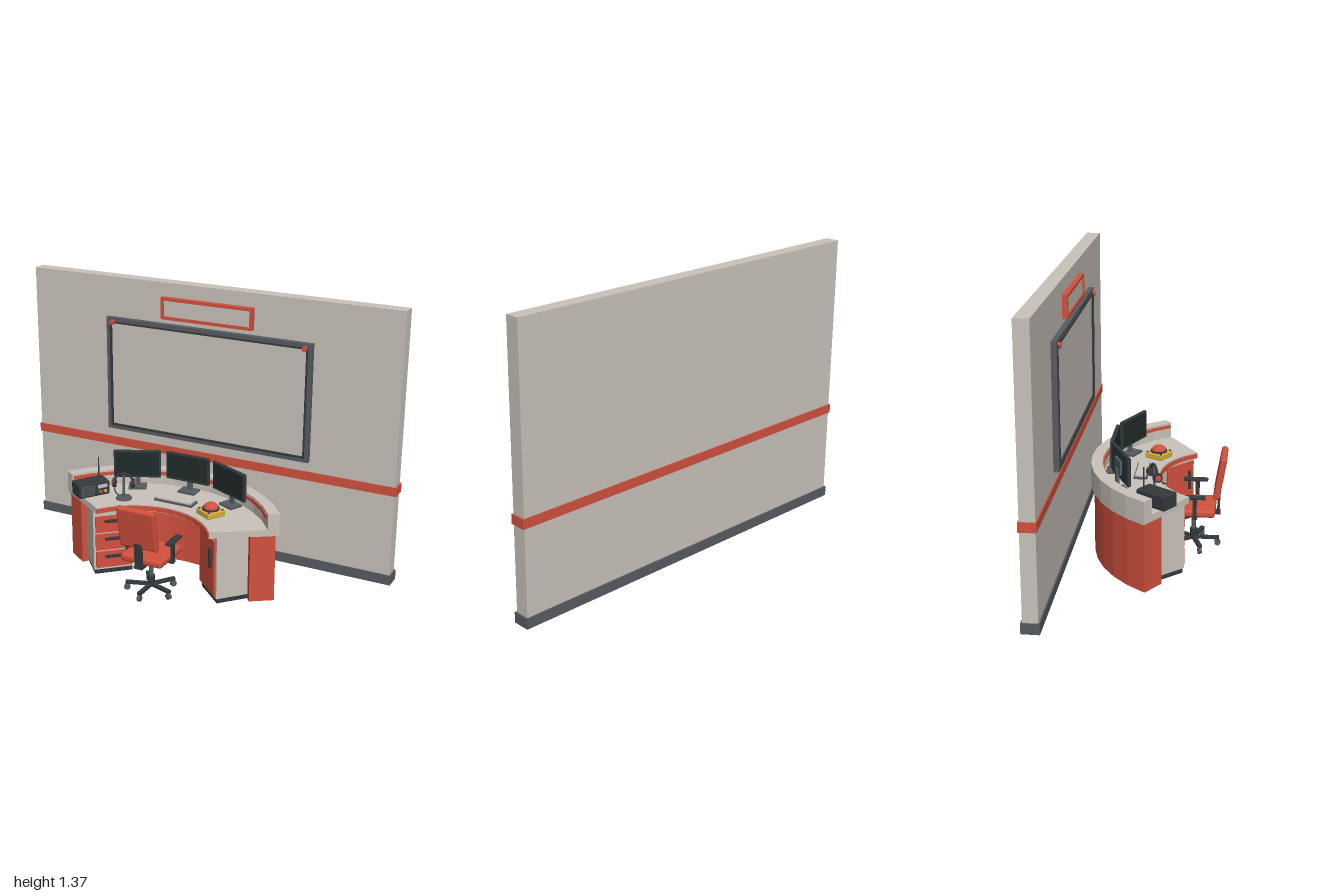
import * as THREE from 'three';
import { RoundedBoxGeometry } from 'three/addons/geometries/RoundedBoxGeometry.js';

const mat = (name, color) => {
  const m = new THREE.MeshStandardMaterial({ color });
  m.name = name;
  return m;
};
const M = {
  light: mat('warm light grey', 0xc9c3ba),
  red: mat('red', 0xd2513e),
  grey: mat('slate grey', 0x575c61),
  dark: mat('charcoal', 0x34393c),
  screen: mat('screen', 0x212b2b),
  yellow: mat('yellow', 0xd9ae3a),
};
const rad = THREE.MathUtils.degToRad;

function add(parent, name, geometry, material, x = 0, y = 0, z = 0) {
  const m = new THREE.Mesh(geometry, material);
  m.name = name;
  m.position.set(x, y, z);
  parent.add(m);
  return m;
}
const box = (p, n, m, w, h, d, x, y, z) => add(p, n, new THREE.BoxGeometry(w, h, d), m, x, y, z);
const soft = (p, n, m, w, h, d, x, y, z, r = 0.006) =>
  add(p, n, new RoundedBoxGeometry(w, h, d, 2, r), m, x, y, z);
const cyl = (p, n, m, r, h, x, y, z, r2 = r, seg = 16) =>
  add(p, n, new THREE.CylinderGeometry(r2, r, h, seg), m, x, y, z);
function group(parent, name, x = 0, y = 0, z = 0, ry = 0) {
  const g = new THREE.Group();
  g.name = name;
  g.position.set(x, y, z);
  g.rotation.y = rad(ry);
  parent.add(g);
  return g;
}

// Faceted ring sector around the desk centre (0, 0.45)
function sector(parent, name, material, r0, r1, y0, y1, deg, seg = 12) {
  const pts = [];
  const put = (r, i) => {
    const t = rad(deg) * (2 * i / seg - 1);
    pts.push(new THREE.Vector2(r * Math.sin(t), r * Math.cos(t)));
  };
  for (let i = 0; i <= seg; i++) put(r1, i);
  for (let i = seg; i >= 0; i--) put(r0, i);
  const geo = new THREE.ExtrudeGeometry(new THREE.Shape(pts), { depth: y1 - y0, bevelEnabled: false });
  geo.rotateX(-Math.PI / 2);
  return add(parent, name, geo, material, 0, y0, 0.45);
}

// Rectangular frame with an open middle, back face at z
function frame(parent, name, material, w, h, t, depth, x, y, z) {
  const rect = (C, a, b) => new C([[-a, -b], [a, -b], [a, b], [-a, b]].map(p => new THREE.Vector2(...p)));
  const s = rect(THREE.Shape, w / 2, h / 2);
  s.holes.push(rect(THREE.Path, w / 2 - t, h / 2 - t));
  return add(parent, name, new THREE.ExtrudeGeometry(s, { depth, bevelEnabled: false }), material, x, y, z);
}

function buildWall(root) {
  const g = group(root, 'wall');
  box(g, 'wallPanel', M.light, 1.985, 1.362, 0.07, 0, 0.684, -0.367);
  box(g, 'baseboard', M.grey, 2, 0.05, 0.084, 0, 0.025, -0.367);
  box(g, 'wallStripe', M.red, 2, 0.045, 0.08, 0, 0.488, -0.367);
  // Large display board
  box(g, 'boardPanel', M.light, 1.07, 0.555, 0.016, 0, 0.862, -0.322);
  frame(g, 'boardFrame', M.grey, 1.115, 0.595, 0.024, 0.026, 0, 0.862, -0.332);
  frame(g, 'boardInnerFrame', M.dark, 1.075, 0.555, 0.008, 0.03, 0, 0.862, -0.332);
  for (const s of [-1, 1]) {
    cyl(g, 'boardLamp', M.red, 0.013, 0.014, s * 0.522, 1.136, -0.299).rotation.x = Math.PI / 2;
  }
  // Sign above the board
  frame(g, 'signFrame', M.red, 0.495, 0.11, 0.015, 0.026, 0, 1.24, -0.332);
  box(g, 'signPanel', M.light, 0.475, 0.09, 0.018, 0, 1.24, -0.323);
}

function buildDesk(root) {
  const g = group(root, 'desk');
  sector(g, 'deskBody', M.red, 0.555, 0.675, 0, 0.34, 56);
  sector(g, 'deskTop', M.light, 0.36, 0.69, 0.338, 0.37, 56.7);
  sector(g, 'deskTopTrim', M.red, 0.354, 0.36, 0.343, 0.365, 56.7);
  sector(g, 'counter', M.light, 0.635, 0.69, 0.37, 0.448, 56.7);
  sector(g, 'counterTrim', M.red, 0.628, 0.635, 0.422, 0.438, 56);

  for (const s of [-1, 1]) {
    const p = group(g, s < 0 ? 'drawerPedestal' : 'doorPedestal', s * 0.26, 0, 0.167, -s * 42.5);
    box(p, 'pedestalBody', M.light, 0.2, 0.315, 0.165, 0, 0.182, -0.083);
    box(p, 'plinth', M.dark, 0.19, 0.025, 0.165, 0, 0.0125, -0.088);
    if (s < 0) {
      for (let i = 0; i < 3; i++) {
        const y = 0.08 + i * 0.094;
        box(p, 'drawerFront', M.red, 0.18, 0.084, 0.01, 0, y, 0.005);
        soft(p, 'drawerHandle', M.dark, 0.09, 0.014, 0.014, 0, y + 0.018, 0.016, 0.004);
      }
    } else {
      box(p, 'door', M.red, 0.18, 0.28, 0.01, 0, 0.178, 0.005);
      soft(p, 'doorHandle', M.dark, 0.013, 0.1, 0.014, 0.055, 0.225, 0.016, 0.004);
    }
  }
}

function buildMonitor(root, x, z, ry) {
  const g = group(root, 'monitor', x, 0.37, z, ry);
  soft(g, 'monitorCase', M.dark, 0.235, 0.142, 0.018, 0, 0.129, 0, 0.005);
  box(g, 'monitorScreen', M.screen, 0.218, 0.122, 0.003, 0, 0.131, 0.0095);
  box(g, 'monitorBack', M.grey, 0.08, 0.07, 0.014, 0, 0.125, -0.013);
  box(g, 'monitorNeck', M.grey, 0.025, 0.11, 0.014, 0, 0.06, -0.02);
  box(g, 'monitorFoot', M.grey, 0.09, 0.01, 0.07, 0, 0.005, -0.008);
}

function buildDeskItems(root) {
  buildMonitor(root, 0, -0.128, 0);
  buildMonitor(root, -0.253, -0.068, 25);
  buildMonitor(root, 0.253, -0.068, -25);

  // Keyboard
  const k = group(root, 'keyboard', 0, 0.37, 0.005);
  box(k, 'keyboardBase', M.grey, 0.205, 0.01, 0.065, 0, 0.005, 0);
  box(k, 'keyBlock', M.light, 0.188, 0.008, 0.052, 0, 0.013, 0);

  // Alarm button
  const b = group(root, 'alarmButton', 0.22, 0.37, 0.065, -30);
  soft(b, 'buttonBase', M.yellow, 0.1, 0.03, 0.1, 0, 0.015, 0, 0.005);
  cyl(b, 'buttonCollar', M.dark, 0.042, 0.008, 0, 0.034, 0);
  add(b, 'buttonDome', new THREE.SphereGeometry(0.037, 20, 8, 0, Math.PI * 2, 0, Math.PI / 2), M.red, 0, 0.036, 0)
    .scale.y = 0.75;
  for (const i of [-1, 1]) for (const j of [-1, 1]) {
    cyl(b, 'baseScrew', M.dark, 0.006, 0.004, i * 0.04, 0.031, j * 0.04, 0.006, 8);
  }

  // Radio
  const r = group(root, 'radio', -0.417, 0.372, 0.112, 55);
  soft(r, 'radioCase', M.dark, 0.165, 0.07, 0.092, 0, 0.036, 0);
  box(r, 'radioSpeaker', M.grey, 0.07, 0.05, 0.004, -0.035, 0.037, 0.047);
  for (let i = 0; i < 4; i++) box(r, 'speakerSlot', M.dark, 0.06, 0.004, 0.003, -0.035, 0.021 + i * 0.011, 0.0485);
  box(r, 'radioDisplay', M.light, 0.05, 0.018, 0.004, 0.042, 0.05, 0.047);
  [M.red, M.yellow].forEach((m, i) => {
    cyl(r, 'radioKnob', m, 0.008, 0.01, 0.03 + i * 0.026, 0.024, 0.05, 0.008, 12).rotation.x = Math.PI / 2;
  });
  cyl(r, 'antenna', M.dark, 0.004, 0.11, 0.055, 0.12, -0.025, 0.003, 8);

  // Headset on its stand
  const h = group(root, 'headset', -0.245, 0.37, 0.085, 25);
  cyl(h, 'standBase', M.grey, 0.04, 0.01, 0, 0.005, 0, 0.036, 20);
  cyl(h, 'standPole', M.grey, 0.006, 0.12, 0, 0.068, 0);
  add(h, 'headband', new THREE.TorusGeometry(0.045, 0.006, 8, 20, Math.PI), M.dark, 0, 0.087, 0);
  for (const s of [-1, 1]) {
    cyl(h, 'earCup', M.dark, 0.022, 0.018, s * 0.045, 0.083, 0).rotation.z = Math.PI / 2;
    cyl(h, 'earCupRing', M.red, 0.013, 0.005, s * 0.056, 0.083, 0).rotation.z = Math.PI / 2;
  }
  const path = new THREE.QuadraticBezierCurve3(
    new THREE.Vector3(-0.045, 0.075, 0.01), new THREE.Vector3(-0.045, 0.04, 0.03), new THREE.Vector3(-0.02, 0.04, 0.05));
  add(h, 'microphone', new THREE.TubeGeometry(path, 8, 0.003, 6), M.dark);
}

function buildChair(root) {
  const g = group(root, 'chair', 0, 0, 0.258);
  soft(g, 'seat', M.red, 0.22, 0.038, 0.22, 0, 0.203, -0.003, 0.014);
  box(g, 'seatPlate', M.dark, 0.13, 0.014, 0.13, 0, 0.178, 0);
  soft(g, 'backrest', M.red, 0.2, 0.212, 0.032, 0, 0.38, 0.128, 0.012).rotation.x = 0.17;
  box(g, 'backBracket', M.dark, 0.045, 0.012, 0.09, 0, 0.178, 0.085);
  box(g, 'backSupport', M.dark, 0.04, 0.15, 0.012, 0, 0.245, 0.122).rotation.x = 0.05;
  for (const s of [-1, 1]) {
    const x = s * 0.122;
    soft(g, 'armPad', M.dark, 0.033, 0.014, 0.12, x, 0.295, 0.002, 0.005);
    box(g, 'armPost', M.dark, 0.014, 0.1, 0.02, x, 0.24, 0.01);
    box(g, 'armBracket', M.dark, 0.05, 0.012, 0.025, s * 0.104, 0.188, 0.01);
  }
  cyl(g, 'gasLift', M.grey, 0.011, 0.14, 0, 0.105, 0);
  cyl(g, 'liftSleeve', M.dark, 0.018, 0.05, 0, 0.062, 0);
  // Five-armed foot with casters
  for (let i = 0; i < 5; i++) {
    const leg = group(g, 'footArm', 0, 0, 0, i * 72);
    box(leg, 'footSpoke', M.dark, 0.02, 0.014, 0.125, 0, 0.04, 0.0625);
    cyl(leg, 'casterStem', M.dark, 0.005, 0.02, 0, 0.028, 0.118, 0.005, 8);
    cyl(leg, 'caster', M.grey, 0.015, 0.016, 0, 0.015, 0.118).rotation.z = Math.PI / 2;
  }
}

export function createModel() {
  const root = new THREE.Group();
  root.name = 'controlRoom';
  buildWall(root);
  buildDesk(root);
  buildDeskItems(root);
  buildChair(root);
  return root;
}
